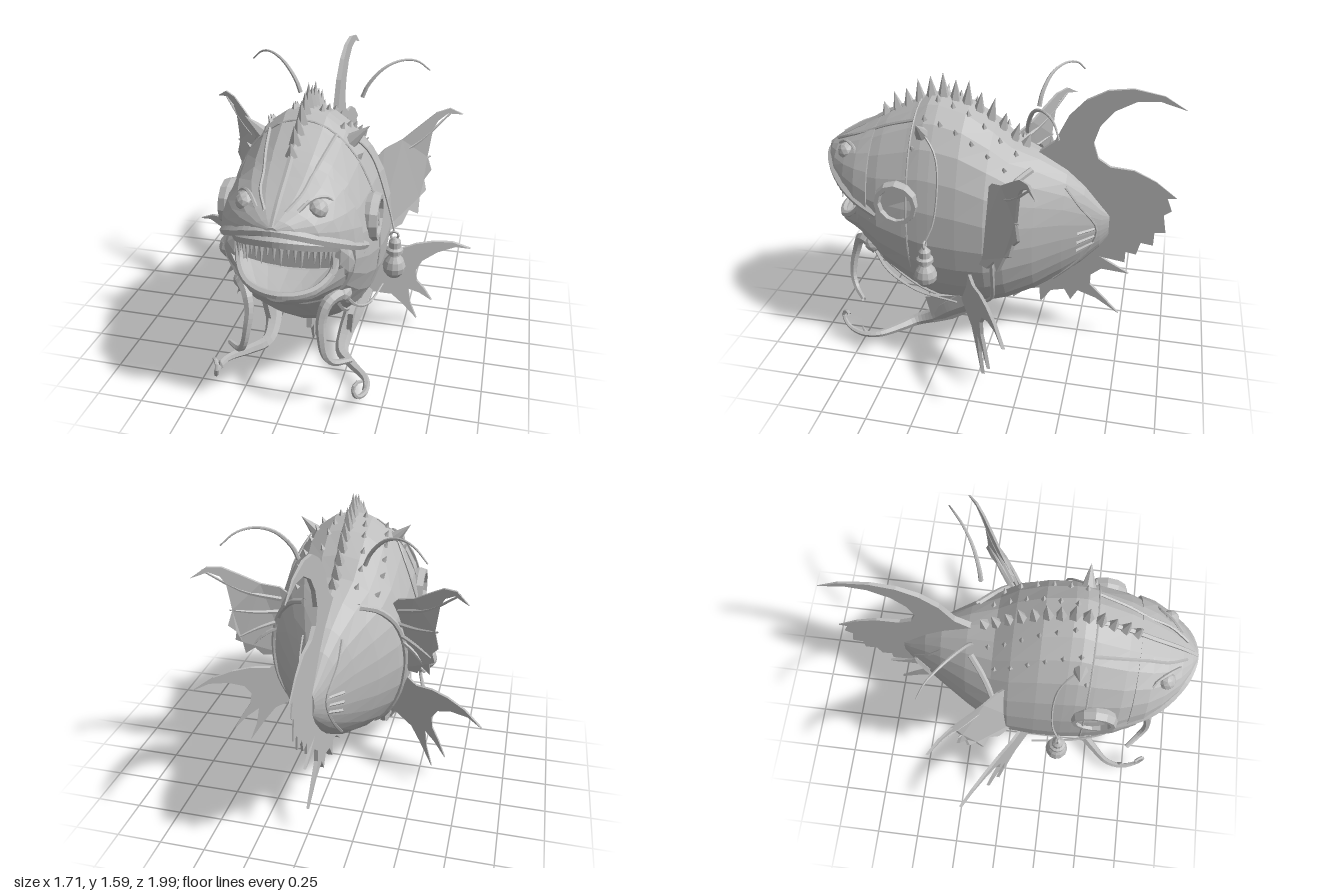
import * as THREE from 'three';

const skin = new THREE.MeshStandardMaterial({ color: 0xbcbcbc, flatShading: true, side: THREE.DoubleSide });
skin.name = 'grey skin';
const V = (x, y, z) => new THREE.Vector3(x, y, z);

function add(parent, name, geo) {
  const m = new THREE.Mesh(geo, skin);
  m.name = name;
  parent.add(m);
  return m;
}

// Closed loft through equal-length rings of points
function loft(rings) {
  const n = rings[0].length, pos = [], idx = [];
  rings.forEach(r => r.forEach(p => pos.push(p.x, p.y, p.z)));
  for (let i = 0; i < rings.length - 1; i++)
    for (let j = 0; j < n; j++) {
      const a = i * n + j, b = i * n + (j + 1) % n;
      idx.push(a, b, a + n, b, b + n, a + n);
    }
  [0, rings.length - 1].forEach((k, end) => {
    const c = rings[k].reduce((s, p) => s.add(p), V(0, 0, 0)).divideScalar(n);
    const ci = pos.push(c.x, c.y, c.z) / 3 - 1;
    for (let j = 0; j < n; j++) {
      const a = k * n + j, b = k * n + (j + 1) % n;
      idx.push(ci, ...(end ? [a, b] : [b, a]));
    }
  });
  const g = new THREE.BufferGeometry();
  g.setAttribute('position', new THREE.Float32BufferAttribute(pos, 3));
  g.setIndex(idx);
  g.computeVertexNormals();
  return g;
}

// Tube along a spline, radius tapering from r0 to r1; a higher power thins it sooner
function taper(pts, r0, r1, seg = 18, sides = 6, power = 1) {
  const curve = new THREE.CatmullRomCurve3(pts.map(p => V(...p)));
  const g = new THREE.TubeGeometry(curve, seg, 1, sides), p = g.attributes.position, v = V(0, 0, 0);
  for (let k = 0; k < p.count; k++) {
    const t = Math.floor(k / (sides + 1)) / seg, c = curve.getPointAt(t);
    v.fromBufferAttribute(p, k).sub(c).multiplyScalar(r1 + (r0 - r1) * (1 - t) ** power).add(c);
    p.setXYZ(k, v.x, v.y, v.z);
  }
  g.computeVertexNormals();
  return g;
}

// Thin fin plate: flat outline placed in space by a rule
function fin(outline, thick, place) {
  const shape = new THREE.Shape(outline.map(p => new THREE.Vector2(...p)));
  const g = new THREE.ExtrudeGeometry(shape, { depth: thick, bevelEnabled: false });
  const p = g.attributes.position;
  for (let k = 0; k < p.count; k++) p.setXYZ(k, ...place(p.getX(k), p.getY(k), p.getZ(k) - thick / 2));
  g.computeVertexNormals();
  return g;
}

// Cone whose base sits at a point and which leans along a direction
function spike(parent, name, at, dir, r, h, sides = 5) {
  const m = add(parent, name, new THREE.ConeGeometry(r, h, sides));
  const d = dir.clone().normalize();
  m.quaternion.setFromUnitVectors(V(0, 1, 0), d);
  m.position.copy(at).addScaledVector(d, h * 0.4);
}

// Body sections: z, top, bottom, half width, height of widest point
const BODY = [
  [-0.645, 0.83, 0.69, 0.02, 0.76], [-0.6, 0.88, 0.62, 0.055, 0.75], [-0.5, 1.0, 0.51, 0.12, 0.74], [-0.4, 1.09, 0.425, 0.185, 0.74],
  [-0.25, 1.18, 0.32, 0.28, 0.73], [-0.1, 1.245, 0.25, 0.365, 0.73], [0, 1.335, 0.225, 0.405, 0.73],
  [0.15, 1.43, 0.2, 0.415, 0.74], [0.3, 1.47, 0.21, 0.415, 0.75], [0.36, 1.47, 0.235, 0.412, 0.76], [0.45, 1.425, 0.28, 0.405, 0.78],
  [0.6, 1.355, 0.4, 0.385, 0.82], [0.72, 1.285, 0.55, 0.34, 0.86]];

function surf(z, deg, off = 0) {
  let i = 0;
  while (i < BODY.length - 2 && z > BODY[i + 1][0]) i++;
  const A = BODY[i], B = BODY[i + 1], t = (z - A[0]) / (B[0] - A[0]);
  const [, top, bot, w, yc] = A.map((a, k) => a + (B[k] - a) * t);
  const c = Math.cos(deg * Math.PI / 180), s = Math.sin(deg * Math.PI / 180);
  return V((w + off) * c, yc + ((s > 0 ? top - yc : yc - bot) + off) * s, z);
}
const onSkin = (list, off) => list.map(([z, a]) => surf(z, a, off).toArray());

// Jaw rings: an arch on one side and a shallow vault on the mouth side
function jaw(rows, up) {
  return loft(rows.map(([z, edge, far, w, vault]) => {
    const ring = [];
    for (let j = 0; j <= 12; j++) {
      const a = Math.PI * j / 12;
      ring.push(V(w * Math.cos(a), edge + (far - edge) * Math.sin(a), z));
    }
    for (let j = 1; j < 8; j++) {
      const a = Math.PI * (1 - j / 8);
      ring.push(V(w * 0.9 * Math.cos(a), edge + vault * Math.sin(a), z));
    }
    return up ? ring : ring.reverse();
  }));
}

// Everything that appears on both sides, built on +x
function buildSide() {
  const g = new THREE.Group();

  // Pectoral fin with rays, its lower half curling forward
  const pectoralZ = (x, y) => -0.05 - (x - 0.34) * 0.74 + Math.max(0, 0.92 - y) * 0.4;
  add(g, 'pectoralFin', fin([[0.28, 1.06], [0.34, 1.13], [0.43, 1.17], [0.52, 1.24], [0.6, 1.3], [0.67, 1.313], [0.74, 1.265],
    [0.66, 1.285], [0.61, 1.25], [0.585, 1.2], [0.575, 1.12], [0.565, 1.04], [0.59, 0.95], [0.555, 0.9], [0.57, 0.84], [0.54, 0.81],
    [0.54, 0.72], [0.49, 0.75], [0.46, 0.68], [0.34, 0.64]], 0.015, (u, v, t) => [u, v, pectoralZ(u, v) + t]));
  [[0.69, 1.3], [0.58, 1.04], [0.56, 0.85], [0.53, 0.74]].forEach(([x, y]) => {
    const mx = (x + 0.34) / 2, my = (y * 1.2 + 0.95) / 2.2;
    add(g, 'pectoralRay', taper([[0.34, 0.95 + (y - 0.95) * 0.3, -0.05], [mx, my, pectoralZ(mx, my)],
      [x, y, pectoralZ(x, y)]], 0.014, 0.005, 8, 5));
  });

  // Lower fin
  add(g, 'lowerFin', fin([[0.34, 0.6], [0.45, 0.55], [0.55, 0.57], [0.65, 0.565], [0.75, 0.54], [0.855, 0.475], [0.77, 0.505],
    [0.67, 0.49], [0.59, 0.45], [0.555, 0.39], [0.565, 0.32], [0.61, 0.25], [0.655, 0.16], [0.58, 0.235], [0.52, 0.275],
    [0.535, 0.17], [0.575, 0.05], [0.49, 0.18], [0.43, 0.26], [0.28, 0.32]], 0.02,
  (u, v, t) => [u, v, 0.055 - (u - 0.42) * 0.62 + t]));

  // Floating filament above the back
  add(g, 'filament', taper([[0.18, 1.37, -0.2], [0.21, 1.44, -0.21], [0.29, 1.53, -0.25], [0.38, 1.565, -0.31],
    [0.46, 1.55, -0.37], [0.53, 1.49, -0.41]], 0.013, 0.004));

  // Porthole goggle on the cheek, a broad flat-faced ring
  const rim = add(g, 'goggleRim', new THREE.LatheGeometry([[0.092, -0.05], [0.115, -0.05], [0.128, 0.0], [0.118, 0.038],
    [0.095, 0.038], [0.088, 0.0], [0.092, -0.05]].map(p => new THREE.Vector2(...p)), 12));
  rim.position.set(0.375, 0.975, 0.475);
  rim.rotation.z = -Math.PI / 2;
  const lens = add(g, 'goggleLens', new THREE.CylinderGeometry(0.095, 0.095, 0.04, 12));
  lens.position.set(0.362, 0.975, 0.475);
  lens.rotation.z = Math.PI / 2;

  // Hanging lamp and its cord
  const bulb = add(g, 'lampBulb', new THREE.LatheGeometry([[0.001, 0.525], [0.035, 0.54], [0.058, 0.57], [0.063, 0.6], [0.052, 0.635],
    [0.03, 0.665], [0.028, 0.68], [0.046, 0.685], [0.046, 0.705], [0.032, 0.715], [0.032, 0.75], [0.015, 0.77], [0.001, 0.775]]
    .map(p => new THREE.Vector2(...p)), 12));
  bulb.position.set(0.47, 0, 0.3);
  const hook = add(g, 'lampHook', new THREE.TorusGeometry(0.022, 0.007, 5, 8));
  hook.position.set(0.465, 0.785, 0.3);
  add(g, 'lampCord', taper([[0.465, 0.8, 0.3], [0.43, 0.9, 0.26], ...onSkin([[0.25, 35], [0.28, 45], [0.36, 55]], 0.006)], 0.006, 0.006, 14, 5));

  // Chin arm with rounded shoulder, and a whisker
  const shoulder = add(g, 'chinShoulder', new THREE.IcosahedronGeometry(0.05, 1));
  shoulder.position.set(0.265, 0.63, 0.675);
  add(g, 'chinArm', taper([[0.27, 0.6, 0.65], [0.25, 0.645, 0.72], [0.21, 0.62, 0.775], [0.188, 0.54, 0.81],
    [0.195, 0.45, 0.835], [0.215, 0.35, 0.84], [0.25, 0.29, 0.81], [0.33, 0.27, 0.74]], 0.036, 0.014, 24));
  add(g, 'whisker', taper([[0.28, 0.6, 0.66], [0.32, 0.5, 0.58], [0.36, 0.41, 0.4], [0.39, 0.38, 0.15]], 0.01, 0.006, 12, 5));

  // Curling leg with a broad web at the hip
  add(g, 'leg', taper([[0.26, 0.32, 0.12], [0.24, 0.23, 0.24], [0.215, 0.14, 0.34], [0.22, 0.09, 0.45], [0.3, 0.078, 0.54], [0.39, 0.078, 0.64],
    [0.41, 0.082, 0.74], [0.385, 0.11, 0.83], [0.365, 0.17, 0.862], [0.375, 0.205, 0.84], [0.4, 0.2, 0.81]], 0.07, 0.01, 36, 6, 1.7));
  spike(g, 'heelSpur', V(0.4, 0.08, 0.72), V(0, 1, 0.3), 0.014, 0.07);
  add(g, 'legWeb', fin([[0.38, 0.3], [0.2, 0.33], [0.03, 0.33], [0.1, 0.23], [0.22, 0.15], [0.34, 0.1]],
    0.03, (u, v, t) => [0.22 + t + v * 0.1, v, u]));

  // Eye bump with brow
  const eye = add(g, 'eye', new THREE.IcosahedronGeometry(0.05, 1));
  eye.position.set(0.175, 1.16, 0.82);
  add(g, 'brow', taper([[0.1, 1.17, 0.89], [0.15, 1.21, 0.83], [0.21, 1.195, 0.76], [0.25, 1.145, 0.74]], 0.01, 0.008, 10, 5));

  // Seams and plate edges that follow the body
  add(g, 'gillRim', taper(onSkin([[-0.22, 60], [-0.14, 45], [-0.08, 28], [-0.05, 8], [-0.05, -20], [-0.03, -45], [0.02, -60]], 0.006), 0.018, 0.012, 20));
  add(g, 'headSeam', taper(onSkin([-40, -10, 15, 35, 55, 75, 90].map(a => [0.42, a])), 0.006, 0.006, 18, 5));
  add(g, 'bellySeam', taper(onSkin([[0.66, -50], [0.5, -54], [0.35, -55], [0.15, -58], [0, -60]]), 0.014, 0.01, 18, 5));
  add(g, 'tailRim', taper(onSkin([[-0.4, 55], [-0.48, 40], [-0.58, 10], [-0.57, -20], [-0.48, -50], [-0.35, -65]]), 0.008, 0.01, 18, 5));
  add(g, 'foreheadSeam', taper([...onSkin([[0.42, 65], [0.58, 68], [0.7, 70]]), [0.1, 1.225, 0.82], [0.05, 1.175, 0.92]], 0.01, 0.008, 16, 5));
  for (let i = 0; i < 3; i++)
    add(g, 'gillSlat', taper(onSkin([[-0.48, -22 + i * 13], [-0.57, -24 + i * 16]], 0.004), 0.01, 0.008, 4, 4));

  // Horn and scattered studs on the back
  spike(g, 'horn', surf(0.36, 54), V(0.8, 0.75, 0), 0.04, 0.13, 7);
  for (let i = 0; i < 13; i++) {
    const a = 46 + (i * 17) % 36, p = surf(0.4 - i * 0.044, a);
    spike(g, 'backStud', p, V(p.x * 1.5, p.y - 0.73, 0), 0.016, 0.038, 4);
  }

  // Cheek filling the corner of the mouth
  const cheek = add(g, 'cheek', new THREE.IcosahedronGeometry(1, 1));
  cheek.scale.set(0.08, 0.14, 0.09);
  cheek.position.set(0.27, 0.84, 0.67);
  return g;
}

export function createModel() {
  const fish = new THREE.Group();
  fish.name = 'deepSeaFish';

  // Body and jaws
  add(fish, 'body', loft(BODY.map(([z]) => Array.from({ length: 24 }, (_, j) => surf(z, j * 15)))));
  add(fish, 'upperJaw', jaw([[0.66, 0.9, 1.322, 0.368, 0.08], [0.74, 0.95, 1.275, 0.34, 0.08], [0.82, 0.99, 1.23, 0.285, 0.07],
    [0.9, 1.04, 1.185, 0.205, 0.04], [0.955, 1.075, 1.15, 0.11, 0.02], [0.985, 1.095, 1.125, 0.03, 0.005]], true));
  add(fish, 'lowerJaw', jaw([[0.64, 0.86, 0.47, 0.37, -0.04], [0.73, 0.84, 0.57, 0.31, -0.08], [0.8, 0.8, 0.61, 0.25, -0.06],
    [0.88, 0.755, 0.65, 0.18, -0.03], [0.94, 0.735, 0.7, 0.06, -0.01]], false));

  // Lips swept from cheek to cheek
  const bothSides = half => [...half.slice(1).reverse().map(([x, y, z]) => [-x, y, z]), ...half];
  const upper = [[0, 1.095, 0.97], [0.11, 1.075, 0.945], [0.2, 1.035, 0.89], [0.28, 0.985, 0.81], [0.33, 0.935, 0.72], [0.36, 0.88, 0.6]];
  const lower = [[0, 0.73, 0.93], [0.1, 0.735, 0.91], [0.18, 0.755, 0.865], [0.235, 0.8, 0.79], [0.25, 0.86, 0.74]];
  add(fish, 'upperLip', taper(bothSides(upper), 0.026, 0.026, 32));
  add(fish, 'lowerLip', taper(bothSides(lower), 0.02, 0.02, 28));

  // Teeth and gum along the upper jaw
  const gumPath = [[0, 1.035, 0.95], [0.09, 1.025, 0.93], [0.17, 1.0, 0.88], [0.22, 0.975, 0.82], [0.245, 0.945, 0.76]];
  add(fish, 'gum', taper(bothSides(gumPath), 0.034, 0.034, 24));
  const gum = new THREE.CatmullRomCurve3(bothSides(gumPath).map(p => V(...p)));
  for (let i = 0; i < 21; i++)
    spike(fish, 'tooth', gum.getPointAt((i + 0.5) / 21), V(0, -1, 0.1), 0.018, 0.09 + 0.05 * ((i * 7) % 3) / 2, 4);

  // Crest of spikes and the forehead ridge
  for (let i = 0; i < 13; i++) {
    const z = 0.63 - i * 0.066;
    spike(fish, 'crestSpike', surf(z, 90), V(0, 1, (z - 0.3) * 0.8), 0.034, 0.06 + 0.06 * Math.sin(Math.PI * (i + 1) / 14) + 0.02 * (i % 2), 5);
  }
  add(fish, 'foreheadRidge', taper([[0, 1.43, 0.42], [0, 1.355, 0.6], [0, 1.285, 0.72], [0, 1.19, 0.89], [0, 1.12, 0.98]], 0.016, 0.014, 16, 5));

  // Tail, anal and ventral fins on the centre plane, thinning towards their tips
  const tailPlace = (u, v, t) => [t * (1.15 + u) * 1.6, v, u];
  add(fish, 'tailFin', fin([[-0.22, 1.17], [-0.32, 1.25], [-0.39, 1.4], [-0.48, 1.5], [-0.59, 1.56], [-0.72, 1.578], [-0.88, 1.55], [-1, 1.48],
    [-0.86, 1.52], [-0.74, 1.51], [-0.63, 1.45], [-0.56, 1.36], [-0.53, 1.26], [-0.56, 1.17], [-0.63, 1.125], [-0.76, 1.115], [-0.88, 1.06],
    [-1, 0.97], [-0.95, 0.965], [-0.98, 0.89], [-0.94, 0.86], [-0.96, 0.75], [-0.9, 0.745], [-0.9, 0.66], [-0.83, 0.67], [-0.81, 0.59],
    [-0.75, 0.6], [-0.75, 0.53], [-0.62, 0.55], [-0.45, 0.6], [-0.3, 0.8]], 0.024, tailPlace));
  add(fish, 'analFin', fin([[-0.5, 0.62], [-0.66, 0.52], [-0.78, 0.455], [-0.62, 0.47], [-0.56, 0.42], [-0.56, 0.35], [-0.64, 0.27], [-0.74, 0.165],
    [-0.6, 0.26], [-0.49, 0.3], [-0.45, 0.23], [-0.41, 0.3], [-0.33, 0.28], [-0.27, 0.19], [-0.26, 0.29], [-0.18, 0.27], [-0.1, 0.2],
    [-0.1, 0.36]], 0.024, tailPlace));
  add(fish, 'ventralFin', fin([[0.05, 0.26], [0.14, 0.15], [0.21, 0.12], [0.245, 0], [0.27, 0.12], [0.34, 0.14], [0.33, 0.26]], 0.04,
    (u, v, t) => [t * Math.min(1, 0.15 + v * 4), v, u]));

  // Mirrored side parts
  const left = buildSide(), right = buildSide();
  left.name = 'leftSide';
  right.name = 'rightSide';
  right.scale.x = -1;
  fish.add(left, right);
  return fish;
}
